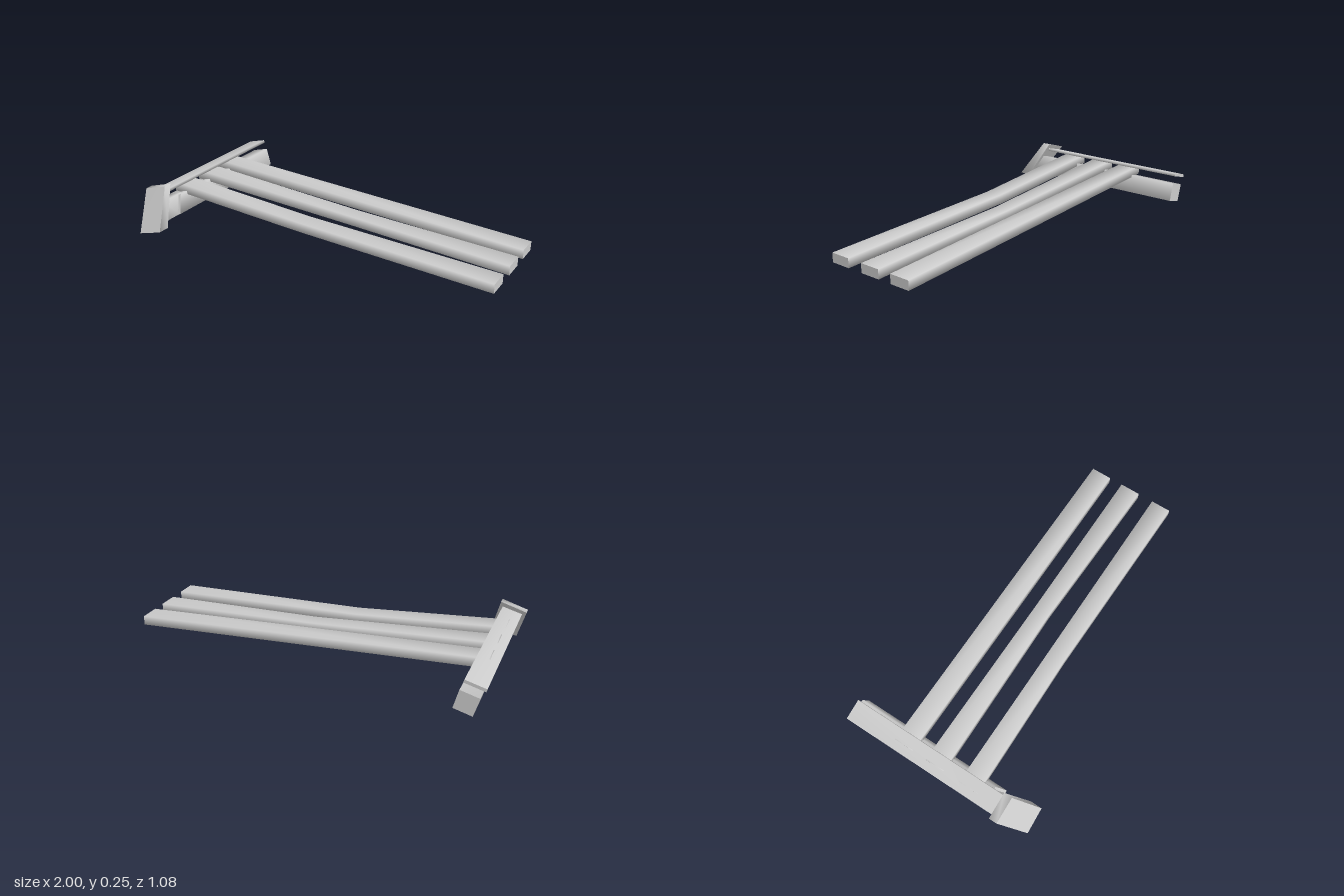
import * as THREE from 'three';

// Skin a run of matching cross-sections: smooth sides, flat end caps.
// Each ring runs counter-clockwise about the direction of travel.
function loft(name, rings) {
  const n = rings[0].length, pos = [], idx = [];
  rings.forEach(r => r.forEach(p => pos.push(...p)));
  for (let i = 0; i < rings.length - 1; i++) {
    for (let j = 0; j < n; j++) {
      const a = i * n + j, b = i * n + (j + 1) % n;
      idx.push(a, b, b + n, a, b + n, a + n);
    }
  }
  for (const [ring, flip] of [[rings[0], true], [rings[rings.length - 1], false]]) {
    const s = pos.length / 3;
    ring.forEach(p => pos.push(...p));
    for (let j = 1; j < n - 1; j++) {
      idx.push(s, flip ? s + j + 1 : s + j, flip ? s + j : s + j + 1);
    }
  }
  const geo = new THREE.BufferGeometry();
  geo.setAttribute('position', new THREE.Float32BufferAttribute(pos, 3));
  geo.setIndex(idx);
  geo.computeVertexNormals();
  const mesh = new THREE.Mesh(geo, new THREE.MeshStandardMaterial({ color: 0xcccccc }));
  mesh.name = name;
  return mesh;
}

const TILT = 0.265; // lean of the backrest frame about z

// Tilted rectangular section in the xy plane; zAt gives the z of each corner
function tiltedRing(cx, cy, w, h, zAt) {
  const c = Math.cos(TILT), s = Math.sin(TILT);
  return [[-1, -1], [1, -1], [1, 1], [-1, 1]].map(([u, v]) => {
    const a = u * w / 2, b = v * h / 2;
    const y = cy + a * s + b * c;
    return [cx + a * c - b * s, y, zAt(y)];
  });
}

// Long plank: stations of [x, yBottom, yTop, zBack, zFront]
function plank(name, stations) {
  return loft(name, stations.map(([x, y0, y1, z0, z1]) =>
    [[x, y1, z0], [x, y1, z1], [x, y0, z1], [x, y0, z0]]));
}

export function createModel() {
  const group = new THREE.Group();

  // Three long planks; the front two sag in the middle
  group.add(plank('backPlank', [
    [-0.93, 0.155, 0.205, -0.265, -0.155],
    [1, 0.065, 0.115, -0.26, -0.145]]));
  group.add(plank('middlePlank', [
    [-0.93, 0.153, 0.205, -0.075, 0.035],
    [0.08, 0.097, 0.147, -0.07, 0.02],
    [1, 0.065, 0.115, -0.067, 0.048]]));
  group.add(plank('frontPlank', [
    [-0.93, 0.152, 0.204, 0.13, 0.24],
    [-0.1, 0.095, 0.147, 0.13, 0.228],
    [1, 0.065, 0.115, 0.137, 0.25]]));

  // Thin slab across the top of the plank ends
  group.add(loft('topSlab', [-0.54, 0.365].map(z =>
    tiltedRing(-0.92, 0.198, 0.11, 0.016, () => z))));

  // Heavy cross beam underneath, cut at a slant
  const cut = y => 0.35 - (y - 0.04) * 0.48;
  group.add(loft('crossBeam', [
    tiltedRing(-0.885, 0.102, 0.1, 0.102, () => -0.54),
    tiltedRing(-0.885, 0.102, 0.1, 0.102, cut)]));

  // Narrower tenon joining the beam to the end plate
  group.add(loft('beamTenon', [
    tiltedRing(-0.885, 0.102, 0.07, 0.108, y => cut(y) - 0.02),
    tiltedRing(-0.885, 0.102, 0.07, 0.108, y => 0.5 - (y - 0.04) * 0.58)]));

  // Leaning end plate
  const outline = [[-0.94, 0.003], [-0.8, 0.042], [-0.86, 0.25], [-1, 0.207]];
  group.add(loft('endPlate', [[0.49, 0.47, 0.355, 0.355], [0.54, 0.535, 0.4, 0.4]].map(zs =>
    outline.map(([x, y], i) => [x, y, zs[i]]))));

  return group;
}
